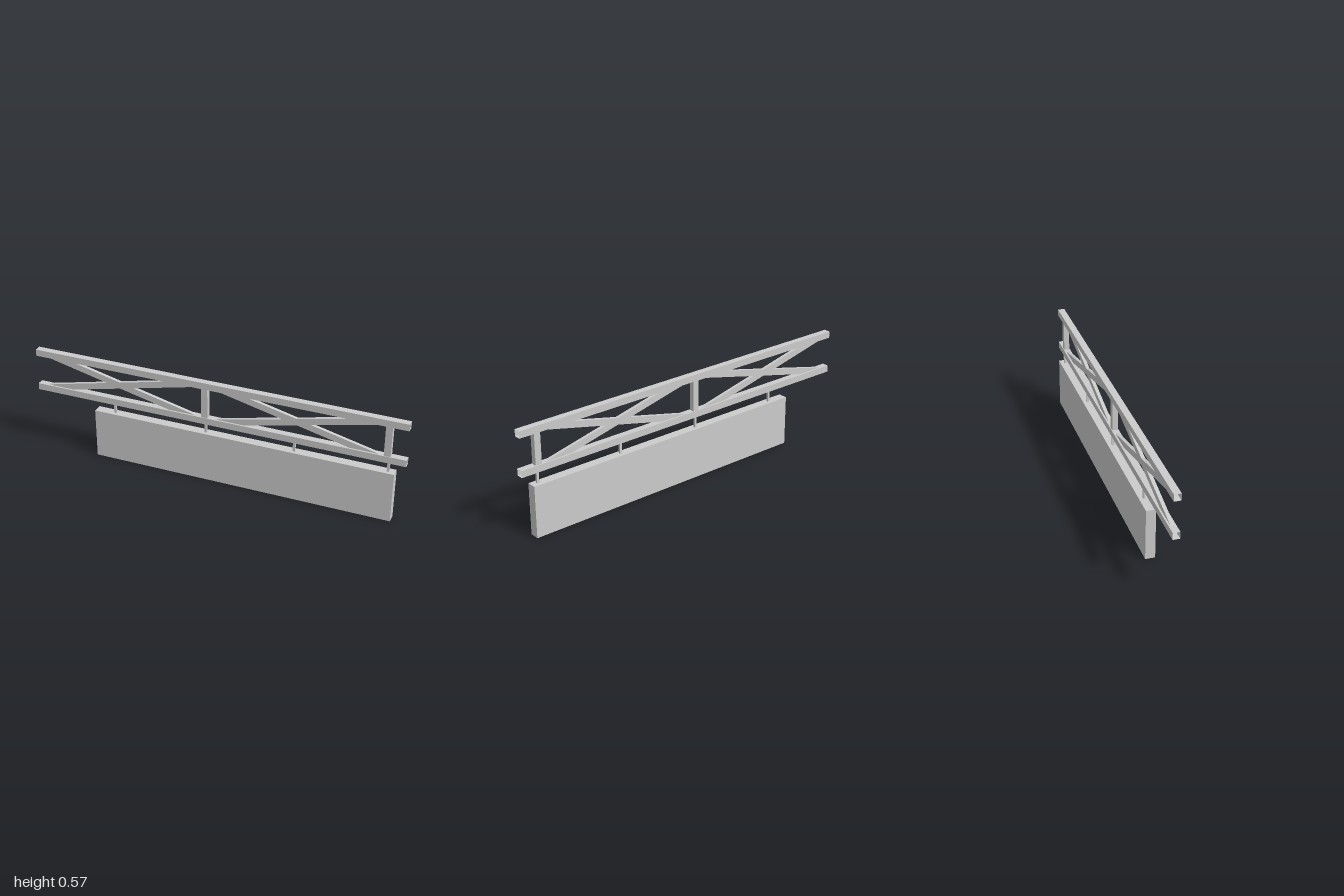
import * as THREE from 'three';

export function createModel() {
  const model = new THREE.Group();
  const solid = new THREE.MeshStandardMaterial({ color: 0xcccccc, flatShading: true });
  const sheet = new THREE.MeshStandardMaterial({ color: 0xcccccc, flatShading: true, side: THREE.DoubleSide });

  const add = (name, geometry, x, y, z, material = solid) => {
    const mesh = new THREE.Mesh(geometry, material);
    mesh.name = name;
    mesh.position.set(x, y, z);
    model.add(mesh);
    return mesh;
  };

  const trussZ = 0.007;
  const railY = { lowerRail: 0.349, upperRail: 0.549 };
  const midY = (railY.lowerRail + railY.upperRail) / 2;

  // Square hollow rails with open ends
  const railSize = 0.036;
  const railGeometry = new THREE.CylinderGeometry(
    railSize / Math.SQRT2, railSize / Math.SQRT2, 2, 4, 1, true, Math.PI / 4
  ).rotateZ(Math.PI / 2);
  for (const [name, y] of Object.entries(railY)) add(name, railGeometry, 0, y, trussZ, sheet);

  // Upright posts, set into the rails
  const postGeometry = new THREE.BoxGeometry(0.034, 0.215, 0.029);
  for (const x of [-0.048, 0.903]) add('post', postGeometry, x, 0.448, trussZ);

  // Crossed braces, one pair per bay
  const braceGeometry = new THREE.BoxGeometry(0.88, 0.034, 0.018);
  for (const x of [-0.52, 0.44]) {
    for (const side of [-1, 1]) {
      add('crossBrace', braceGeometry, x, midY, trussZ).rotation.z = side * 0.231;
    }
  }

  // Hanging panel and its hangers
  add('panel', new THREE.BoxGeometry(1.615, 0.273, 0.05), 0.138, 0.1365, 0);
  const hangerGeometry = new THREE.BoxGeometry(0.012, 0.066, 0.012);
  for (const x of [-0.56, -0.048, 0.428, 0.91]) add('hanger', hangerGeometry, x, 0.302, 0.001);

  return model;
}
